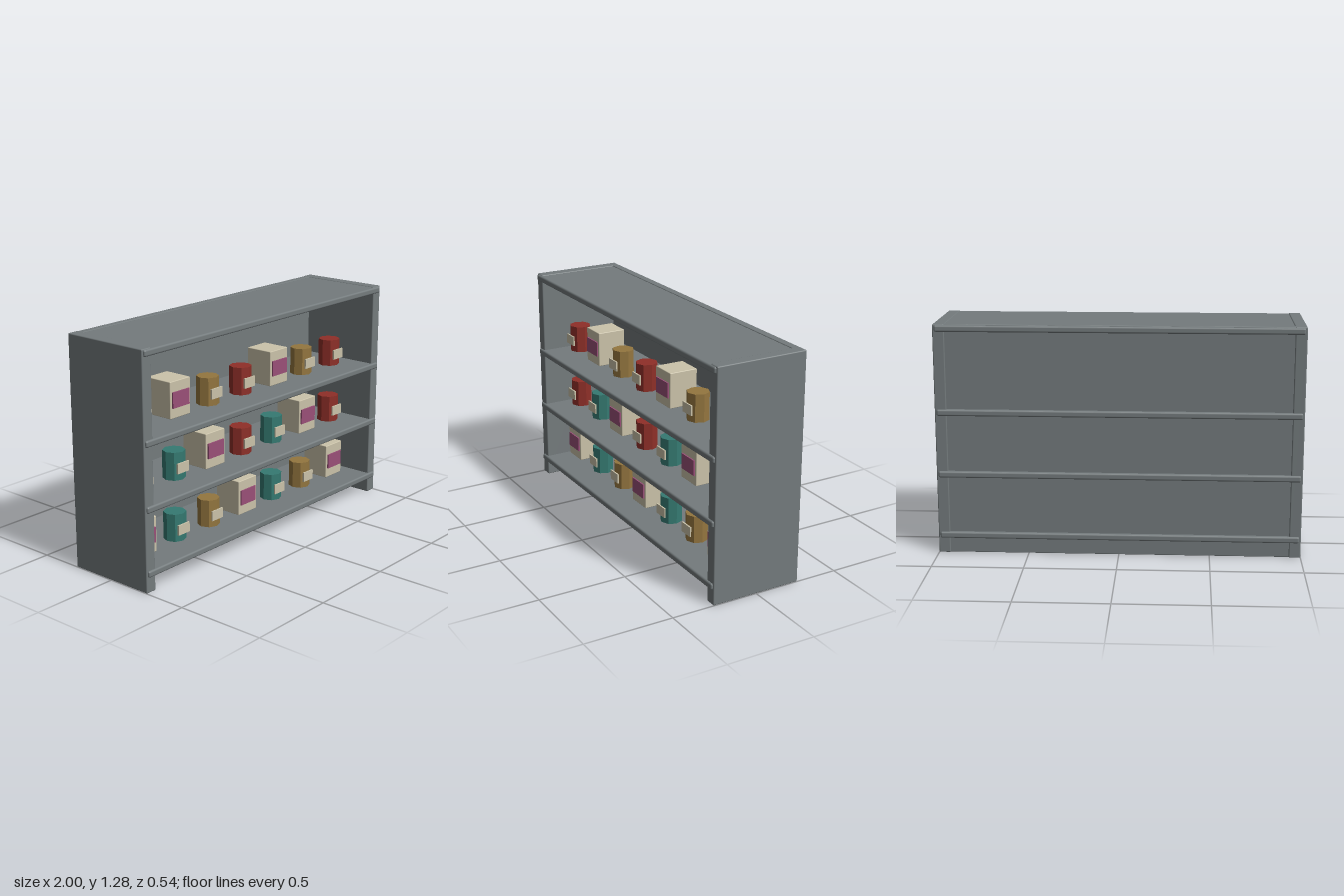
import * as THREE from 'three';
import { RoundedBoxGeometry } from 'three/addons/geometries/RoundedBoxGeometry.js';

const material = (name, color, flatShading = false) => {
  const m = new THREE.MeshStandardMaterial({ color, flatShading });
  m.name = name;
  return m;
};

export function createModel() {
  const steel = material('steel', 0x747b7d);
  const cream = material('cream', 0xcbc3aa);
  const magenta = material('magenta', 0x9a5078);
  const canColours = {
    R: material('red', 0x8f2f28, true),
    T: material('teal', 0x357a72, true),
    M: material('mustard', 0x94763f, true),
  };

  const group = new THREE.Group();
  group.name = 'stockedShelf';

  const add = (parent, name, geometry, mat, x, y, z) => {
    const mesh = new THREE.Mesh(geometry, mat);
    mesh.name = name;
    mesh.position.set(x, y, z);
    parent.add(mesh);
    return mesh;
  };

  // Side panels and back panel
  const sideGeo = new RoundedBoxGeometry(0.064, 1.28, 0.52, 2, 0.006);
  add(group, 'leftSide', sideGeo, steel, 0.968, 0.64, 0);
  add(group, 'rightSide', sideGeo, steel, -0.968, 0.64, 0);
  add(group, 'backPanel', new RoundedBoxGeometry(1.9, 1.28, 0.035, 2, 0.004), steel, 0, 0.64, -0.2325);

  // Shelves, with edges that stand slightly proud of the sides
  const shelfHeights = [0.103, 0.45, 0.797, 1.258];
  const shelfGeo = new RoundedBoxGeometry(1.98, 0.036, 0.54, 2, 0.01);
  shelfHeights.forEach((y, i) => add(group, i === 3 ? 'topShelf' : 'shelf', shelfGeo, steel, 0, y, 0));

  // Shared goods geometry
  const canGeo = new THREE.CylinderGeometry(0.062, 0.062, 0.155, 8);
  const canLabelGeo = new THREE.BoxGeometry(0.086, 0.056, 0.009);
  const cartonGeo = new RoundedBoxGeometry(0.152, 0.2, 0.166, 2, 0.004);
  const cartonLabelGeo = new THREE.BoxGeometry(0.125, 0.086, 0.009);

  // Goods on each shelf: B carton, R/T/M cans
  ['BTMBTMB', 'RTBRTBR', 'RBMRBMR'].forEach((row, r) => {
    [...row].forEach((kind, i) => {
      const item = new THREE.Group();
      item.name = kind === 'B' ? 'carton' : 'can';
      item.position.set(-0.848 + i * 0.271, shelfHeights[r] + 0.018, 0);
      if (kind === 'B') {
        add(item, 'cartonBody', cartonGeo, cream, 0, 0.1, 0.03);
        add(item, 'cartonLabel', cartonLabelGeo, magenta, 0, 0.1, 0.1165);
      } else {
        add(item, 'canBody', canGeo, canColours[kind], 0, 0.0775, 0.06);
        add(item, 'canLabel', canLabelGeo, cream, 0, 0.07, 0.1245);
      }
      group.add(item);
    });
  });

  return group;
}
